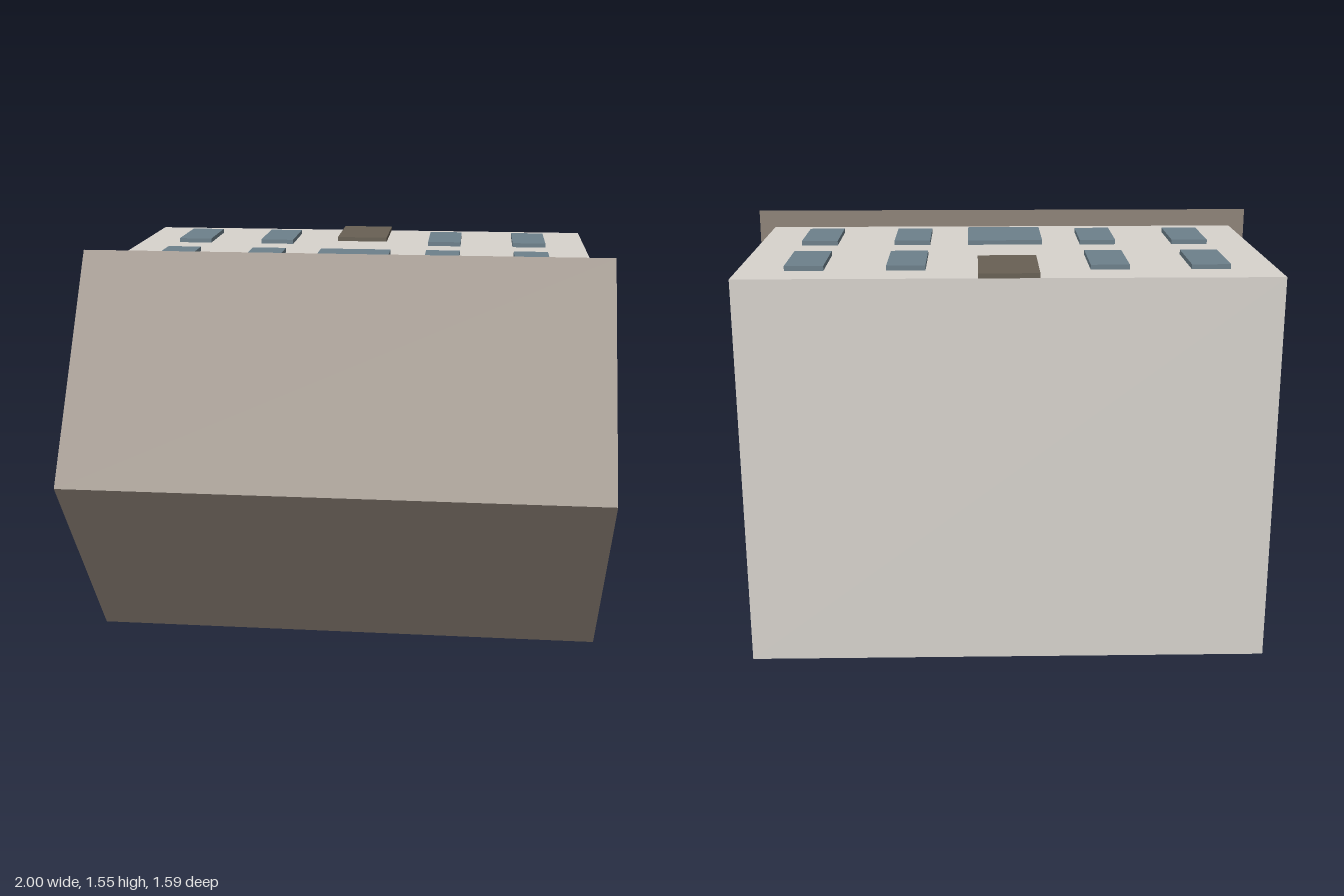
import * as THREE from 'three';

const mat = (name, color) => {
  const m = new THREE.MeshStandardMaterial({ color });
  m.name = name;
  return m;
};

export function createModel() {
  const house = new THREE.Group();
  house.name = 'house';
  const wall = mat('wall plaster', 0xd7d3cd);
  const roofing = mat('roof brown', 0x8f8479);
  const glass = mat('window blue', 0x6d808b);
  const wood = mat('door brown', 0x686054);

  // The house lies on its back: facade faces +y, roof ridge points to +z
  const EAVES = 0.265, GROUND = -0.797, FACADE = 1.485;

  const box = (name, material, x, y, z, w, h, d) => {
    const mesh = new THREE.Mesh(new THREE.BoxGeometry(w, h, d), material);
    mesh.name = name;
    mesh.position.set(x, y, z);
    house.add(mesh);
  };

  // Main block
  box('walls', wall, 0, (0.07 + FACADE) / 2, (GROUND + EAVES) / 2,
    1.876, FACADE - 0.07, EAVES - GROUND);

  // Gabled roof, a triangular prism running along x
  const gable = new THREE.Shape();
  gable.moveTo(-EAVES, 0);
  gable.lineTo(-EAVES, 1.553);
  gable.lineTo(-0.797, 0.777);
  gable.closePath();
  const prism = new THREE.ExtrudeGeometry(gable, { depth: 2, bevelEnabled: false });
  prism.translate(0, 0, -1).rotateY(Math.PI / 2); // profile x becomes -z
  const roof = new THREE.Mesh(prism, roofing);
  roof.name = 'roof';
  house.add(roof);

  // Raised facade panels, given by their z range
  const panel = (name, material, x, w, z0, z1) =>
    box(name, material, x, FACADE + 0.0085, (z0 + z1) / 2, w, 0.017, z1 - z0);

  for (const [floor, z0] of [['lower', -0.655], ['upper', -0.163]]) {
    for (const x of [-0.706, -0.354, 0.354, 0.706]) {
      panel(floor + 'Window', glass, x, 0.136, z0, z0 + 0.281);
    }
  }
  panel('centreWindow', glass, 0, 0.284, -0.163, 0.143);
  panel('door', wood, 0, 0.21, GROUND, -0.47);

  return house;
}
